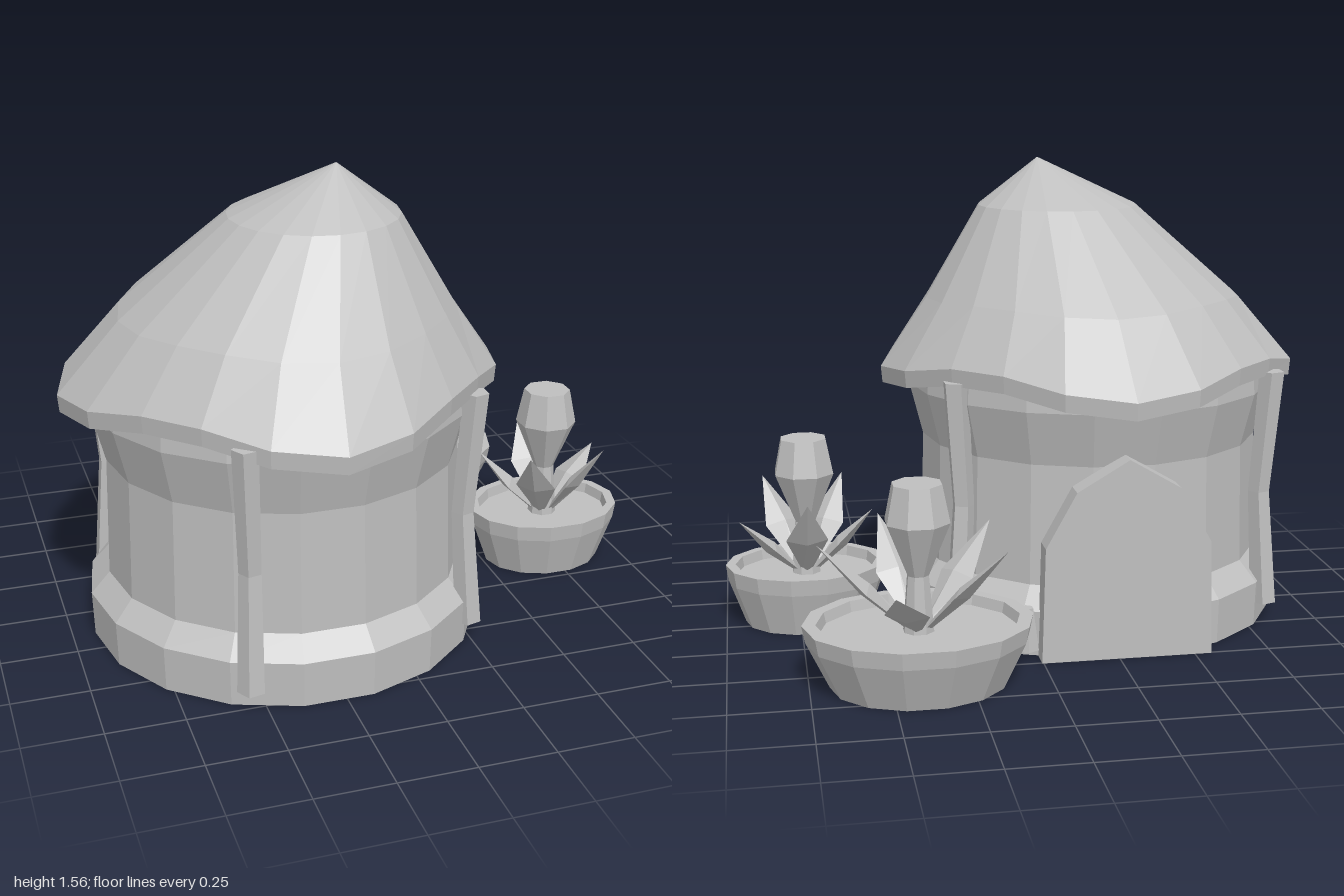
import * as THREE from 'three';

const clay = new THREE.MeshStandardMaterial({ color: 0xbfbfbf, flatShading: true, side: THREE.DoubleSide });
clay.name = 'plain grey clay';

// Skin a stack of closed rings, listed from bottom to top.
function loft(rings) {
  const n = rings[0].length;
  const index = [];
  for (let i = 0; i < rings.length - 1; i++) {
    for (let j = 0; j < n; j++) {
      const a = i * n + j, b = i * n + (j + 1) % n;
      index.push(a, a + n, b, b, a + n, b + n);
    }
  }
  const geo = new THREE.BufferGeometry().setFromPoints(rings.flat());
  geo.setIndex(index);
  geo.computeVertexNormals();
  return geo;
}

// One ring; wave pulls the diagonals inward and lifts them.
function ring(n, y, rx, rz = rx, { x = 0, z = 0, turn = 0, wave = 0 } = {}) {
  return Array.from({ length: n }, (_, j) => {
    const a = turn + j * Math.PI * 2 / n;
    const w = wave * (1 - Math.cos(4 * a)) / 2;
    return new THREE.Vector3(x + (rx - w) * Math.cos(a), y + w * 0.9, z + (rz - w) * Math.sin(a));
  });
}

function add(parent, name, geo) {
  const mesh = new THREE.Mesh(geo, clay);
  mesh.name = name;
  parent.add(mesh);
  return mesh;
}

function makePot(name, x, z, rx, rz, firstAngle, leafReach, tipHeights) {
  const pot = new THREE.Group();
  pot.name = name;
  pot.position.set(x, 0, z);

  // Oval bowl with an open bottom, thick rim and a soil sheet
  const oval = (s, y) => ring(14, y, rx * s, rz * s);
  add(pot, 'bowl', loft([oval(0.77, 0), oval(0.97, 0.15), oval(1, 0.205), oval(0.88, 0.205), oval(0.86, 0.17)]));
  add(pot, 'soil', loft([oval(0.86, 0.17), oval(0, 0.17)]));

  // Stem widening into an eight-sided bud
  const profile = [[0.05, 0.17], [0.035, 0.35], [0.105, 0.52], [0.08, 0.64], [0, 0.64]];
  add(pot, 'bud', loft(profile.map(([r, y]) => ring(8, y, r, r, { turn: Math.PI / 8 }))));

  // Five pointed leaves leaning outward
  tipHeights.forEach((tip, k) => {
    const rise = tip - 0.18, out = leafReach - 0.03;
    const len = Math.hypot(rise, out);
    const angle = firstAngle + k * Math.PI * 2 / 5;
    const leaf = add(pot, 'leaf', loft([
      ring(4, 0, 0.008, 0.015),
      ring(4, len * 0.48, 0.022, 0.07),
      ring(4, len, 0),
    ]));
    leaf.position.set(0.03 * Math.cos(angle), 0.18, 0.03 * Math.sin(angle));
    leaf.rotation.set(0, -angle, -Math.atan2(out, rise));
  });
  return pot;
}

export function createModel() {
  const model = new THREE.Group();
  model.name = 'thatchedHut';
  const hut = new THREE.Group();
  hut.name = 'hut';
  hut.position.set(-0.275, 0, 0.147);
  model.add(hut);

  // Round wall: stepped base, straight side, flared top
  const wall = [[0.65, 0], [0.655, 0.15], [0.592, 0.22], [0.582, 0.62], [0.628, 0.8], [0.62, 0.9]];
  add(hut, 'wall', loft(wall.map(([r, y]) => ring(18, y, r))));

  // Wavy thatched roof whose peak leans forward and to the left
  add(hut, 'roof', loft([
    ring(20, 0.83, 0.6, 0.6, { wave: 0.05 }),
    ring(20, 0.803, 0.72, 0.735, { wave: 0.073 }),
    ring(20, 0.86, 0.725, 0.74, { wave: 0.073 }),
    ring(20, 1.09, 0.545, 0.565, { x: 0.02, z: 0.018, wave: 0.02 }),
    ring(20, 1.4, 0.275, 0.28, { x: 0.1, z: 0.06 }),
    ring(20, 1.56, 0, 0, { x: 0.165, z: 0.09 }),
  ]));

  // Crooked posts around the wall, bent inward at the middle
  for (const [x, z] of [[-0.275, 0.62], [0.52, 0.41], [0.52, -0.39], [-0.545, -0.385]]) {
    const at = (s, y, r) => ring(5, y, r, r, { x: x * s, z: z * s, turn: Math.atan2(z, x) });
    add(hut, 'post', loft([
      at(0.99, 0.07, 0), at(0.99, 0.07, 0.045), at(0.95, 0.46, 0.037), at(1, 0.875, 0.043), at(1, 0.875, 0),
    ]));
  }

  // Pointed-arch door slab at the back
  const arch = new THREE.Shape([
    [-0.28, 0], [0.28, 0], [0.27, 0.38], [0.17, 0.56], [0, 0.66], [-0.17, 0.56], [-0.27, 0.38],
  ].map(([x, y]) => new THREE.Vector2(x, y)));
  const door = add(hut, 'door', new THREE.ExtrudeGeometry(arch, { depth: 0.08, bevelEnabled: false }));
  door.position.z = -0.652;

  // Small peg beside the door
  const peg = add(hut, 'peg', new THREE.CylinderGeometry(0.022, 0.042, 0.14, 6));
  peg.position.set(0.32, 0.1, -0.59);

  // Two potted plants on the left side
  model.add(makePot('smallPot', 0.725, 0.055, 0.273, 0.222, -Math.PI / 2, 0.235, [0.465, 0.375, 0.465, 0.465, 0.4]));
  model.add(makePot('largePot', 0.41, -0.59, 0.36, 0.295, 0, 0.31, [0.46, 0.465, 0.46, 0.465, 0.375]));
  return model;
}
